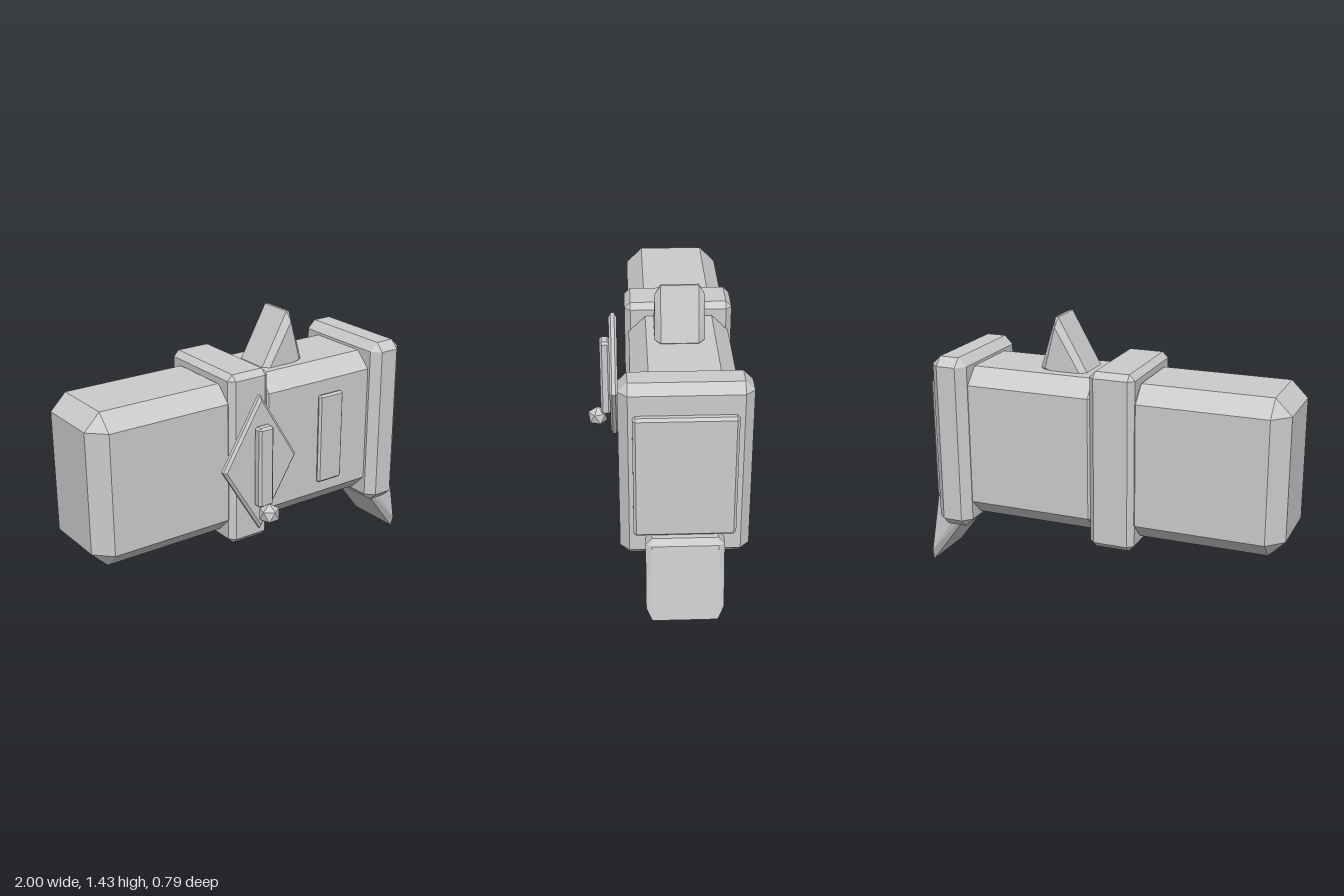
import * as THREE from 'three';
import { ConvexGeometry } from 'three/addons/geometries/ConvexGeometry.js';

const material = new THREE.MeshStandardMaterial({ color: 0xcccccc, flatShading: true });

function part(name, geometry) {
  const mesh = new THREE.Mesh(geometry, material);
  mesh.name = name;
  return mesh;
}

// Box between two corners with every edge chamfered by c
function chamferBox([x0, x1], [y0, y1], [z0, z1], c) {
  const centre = new THREE.Vector3(x0 + x1, y0 + y1, z0 + z1).multiplyScalar(0.5);
  const half = new THREE.Vector3(x1 - x0, y1 - y0, z1 - z0).multiplyScalar(0.5);
  const points = [];
  for (const sx of [-1, 1]) for (const sy of [-1, 1]) for (const sz of [-1, 1]) {
    for (const axis of ['x', 'y', 'z']) {
      const p = half.clone().subScalar(c);
      p[axis] += c;
      points.push(p.multiply(new THREE.Vector3(sx, sy, sz)).add(centre));
    }
  }
  return new ConvexGeometry(points);
}

// Slab with a full outline in the middle and a smaller outline on its two faces
function bevelSlab(outline, face, [z0, z1], bevel) {
  const points = [];
  for (const z of [z0 + bevel, z1 - bevel]) for (const [x, y] of outline) points.push(new THREE.Vector3(x, y, z));
  for (const z of [z0, z1]) for (const [x, y] of face) points.push(new THREE.Vector3(x, y, z));
  return new ConvexGeometry(points);
}

export function createModel() {
  const group = new THREE.Group();

  // Two barrel sections that meet under the band
  group.add(part('rearBody', chamferBox([-1, -0.16], [0.35, 1.16], [-0.34, 0.17], 0.085)));
  group.add(part('frontBody', chamferBox([-0.075, 0.8], [0.35, 1.16], [-0.34, 0.17], 0.085)));
  group.add(part('middleBand', chamferBox([-0.24, 0], [0.29, 1.22], [-0.36, 0.19], 0.03)));

  // End collar and its plate
  group.add(part('endCollar', chamferBox([0.675, 0.87], [0.29, 1.22], [-0.39, 0.23], 0.045)));
  group.add(part('endPlate', chamferBox([0.84, 0.905], [0.435, 1.075], [-0.32, 0.165], 0.013)));

  // Fins
  group.add(part('topFin', bevelSlab(
    [[0.235, 1.435], [0.25, 1.435], [0.333, 1.165], [0.32, 1.155], [0.04, 1.09]],
    [[0.243, 1.385], [0.3, 1.17], [0.075, 1.1]],
    [-0.2, 0.045], 0.03)));
  group.add(part('lowerFin', bevelSlab(
    [[0.993, 0.003], [1, 0.005], [0.945, 0.405], [0.92, 0.435], [0.67, 0.43]],
    [[0.983, 0.07], [0.925, 0.405], [0.76, 0.4]],
    [-0.265, 0.11], 0.03)));

  // Diamond ornament with handle and bead
  const diamond = (s) => [[0, 0.368], [0.226, 0], [0, -0.368], [-0.226, 0]].map(([x, y]) => [x * s - 0.115, y * s + 0.757]);
  group.add(part('diamondPlate', bevelSlab(diamond(1), diamond(0.93), [0.232, 0.275], 0.012)));
  group.add(part('handleBar', chamferBox([-0.16, -0.07], [0.535, 0.97], [0.272, 0.326], 0.012)));
  const bead = part('bead', new THREE.IcosahedronGeometry(0.057, 0).rotateX(-Math.atan((1 + Math.sqrt(5)) / 2)));
  bead.position.set(-0.115, 0.505, 0.345);
  group.add(bead);

  // Side plate
  group.add(part('sidePlate', chamferBox([0.32, 0.48], [0.505, 1.005], [0.178, 0.206], 0.011)));

  return group;
}
